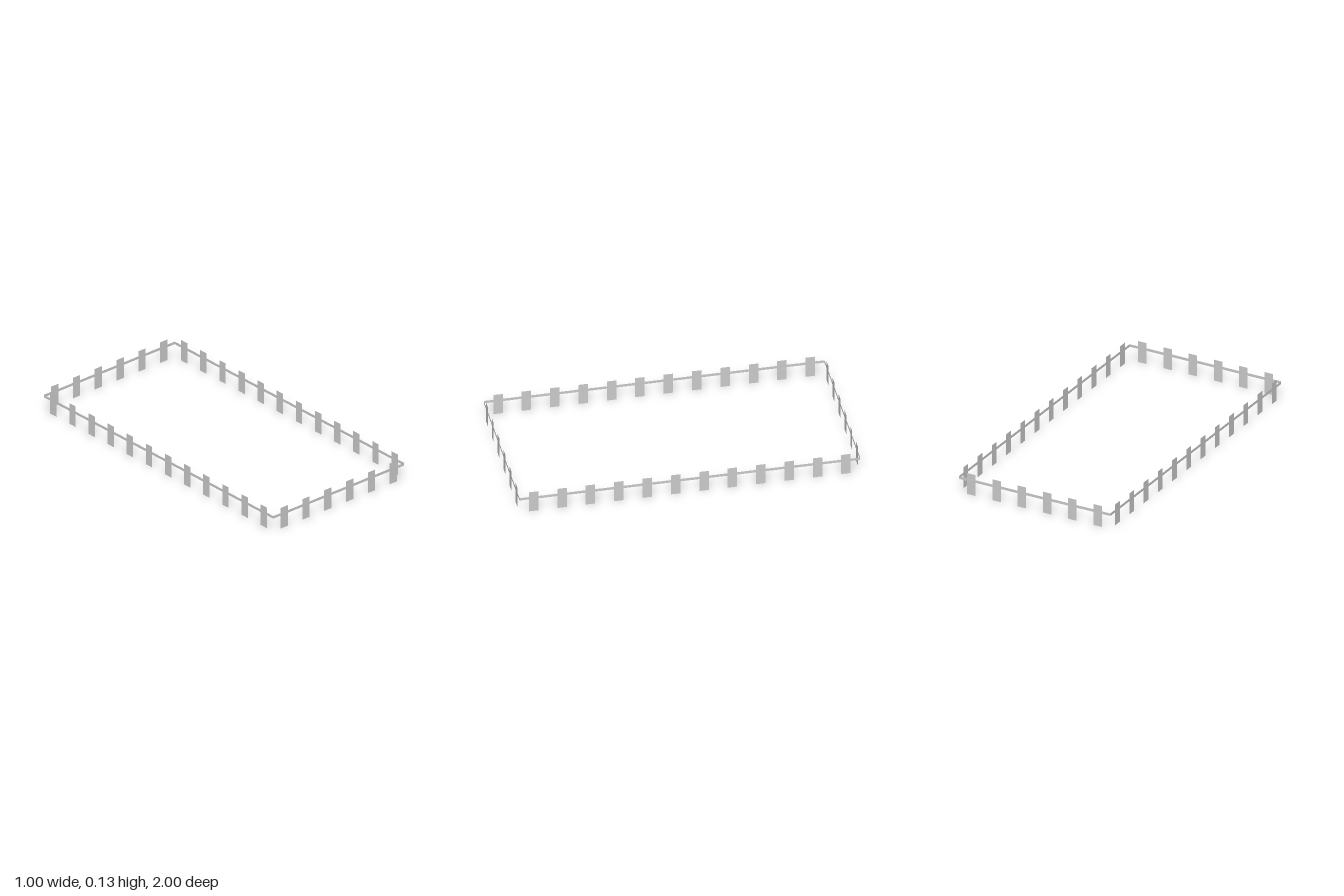
import * as THREE from 'three';

const WIDTH = 1, LENGTH = 2;
const SPACING = 1 / 6;
const PICKET_W = 1 / 18, PICKET_H = 0.1333;
const RAIL_H = 0.0167, RAIL_Y = 0.0917;

const material = new THREE.MeshStandardMaterial({ color: 0xcccccc, side: THREE.DoubleSide });

function panel(name, w, h, x, y) {
  const mesh = new THREE.Mesh(new THREE.PlaneGeometry(w, h), material);
  mesh.name = name;
  mesh.position.set(x, y, 0);
  return mesh;
}

// One straight run of fence: a thin rail with evenly spaced flat pickets
function fenceSide(name, length) {
  const side = new THREE.Group();
  side.name = name;
  side.add(panel('rail', length, RAIL_H, 0, RAIL_Y));
  const count = Math.round(length / SPACING);
  for (let i = 0; i < count; i++) {
    const x = (i + 0.5) * SPACING - length / 2;
    side.add(panel('picket', PICKET_W, PICKET_H, x, PICKET_H / 2));
  }
  return side;
}

export function createModel() {
  const fence = new THREE.Group();
  fence.name = 'picketFence';

  // Short ends and long sides, each facing outwards
  const sides = [
    ['frontFence', WIDTH, 0, LENGTH / 2, 0],
    ['backFence', WIDTH, 0, -LENGTH / 2, Math.PI],
    ['leftFence', LENGTH, WIDTH / 2, 0, Math.PI / 2],
    ['rightFence', LENGTH, -WIDTH / 2, 0, -Math.PI / 2],
  ];
  for (const [name, length, x, z, turn] of sides) {
    const side = fenceSide(name, length);
    side.position.set(x, 0, z);
    side.rotation.y = turn;
    fence.add(side);
  }
  return fence;
}
